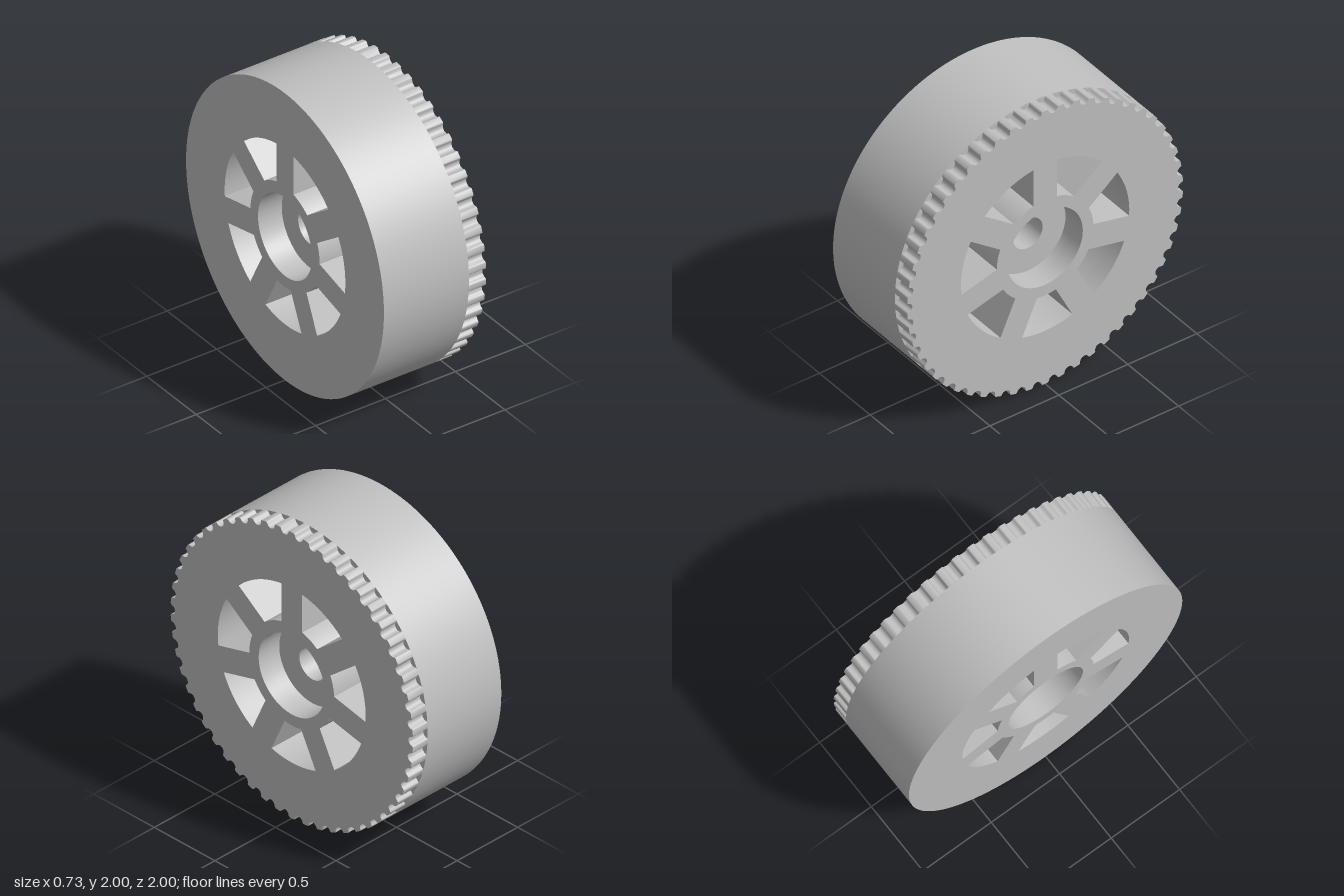
import * as THREE from 'three';
import { toCreasedNormals } from 'three/addons/utils/BufferGeometryUtils.js';

const HALF = 0.365;        // half the wheel width
const BELT = 0.243;        // where the toothed band starts
const TEETH = 54;
const RECESS = 0.273;      // radius of the hub recess
const DEG = Math.PI / 180;

const polar = (r, a) => new THREE.Vector2(r * Math.cos(a), r * Math.sin(a));

function circlePoints(r, n) {
  return Array.from({ length: n }, (_, i) => polar(r, (i / n) * Math.PI * 2));
}

// Rim outline with a rounded groove between neighbouring teeth
function toothedPoints() {
  const groove = [[-0.041, 0], [-0.036, 0.002], [-0.033, 0.006]];
  for (let i = 1; i < 10; i++) {
    const a = (i / 10) * Math.PI;
    groove.push([-0.031 * Math.cos(a), 0.008 + 0.029 * Math.sin(a)]);
  }
  groove.push([0.033, 0.006], [0.036, 0.002], [0.041, 0]);
  const points = [];
  for (let k = 0; k < TEETH; k++) {
    const a = (k / TEETH) * Math.PI * 2;
    for (const [t, depth] of groove) points.push(polar(1 - depth, a + t));
  }
  return points;
}

// Openings between parallel-sided spokes set 51 degrees apart
function windowPaths() {
  const inner = 0.35, outer = 0.61, halfSpoke = 0.086, paths = [];
  for (let k = 0; k < 7; k++) {
    const high = (90 - 51 * k) * DEG;
    const low = k < 6 ? high - 51 * DEG : (90 - 360) * DEG;
    const points = [];
    const arc = (r, from, to) => {
      for (let i = 0; i <= 14; i++) points.push(polar(r, from + ((to - from) * i) / 14));
    };
    const o = Math.asin(halfSpoke / outer), n = Math.asin(halfSpoke / inner);
    arc(outer, low + o, high - o);
    arc(inner, high - n, low + n);
    paths.push(new THREE.Path(points));
  }
  return paths;
}

// Extrude an outline across the wheel from x0 to x1
function slab(name, outline, holes, x0, x1, material) {
  const shape = new THREE.Shape(outline);
  shape.holes.push(...holes);
  const geometry = new THREE.ExtrudeGeometry(shape, { depth: x1 - x0, bevelEnabled: false });
  geometry.translate(0, 0, x0);
  geometry.rotateY(Math.PI / 2);
  const mesh = new THREE.Mesh(toCreasedNormals(geometry, 0.6), material);
  mesh.name = name;
  return mesh;
}

export function createModel() {
  const grey = new THREE.MeshStandardMaterial({ color: 0xc0c0c0 });
  grey.name = 'plain grey';

  const recess = () => new THREE.Path(circlePoints(RECESS, 72));
  const wheel = new THREE.Group();
  wheel.name = 'wheel';
  wheel.add(
    slab('smoothTread', circlePoints(1, 144), [recess(), ...windowPaths()], -HALF, BELT, grey),
    slab('toothedBand', toothedPoints(), [recess(), ...windowPaths()], BELT, HALF, grey),
    // Hub web, recessed from both faces, with the axle bore
    slab('hubWeb', circlePoints(RECESS, 72), [new THREE.Path(circlePoints(0.107, 48))], -0.195, 0.195, grey)
  );
  wheel.position.y = 1;

  const model = new THREE.Group();
  model.name = 'toothedWheel';
  model.add(wheel);
  return model;
}
